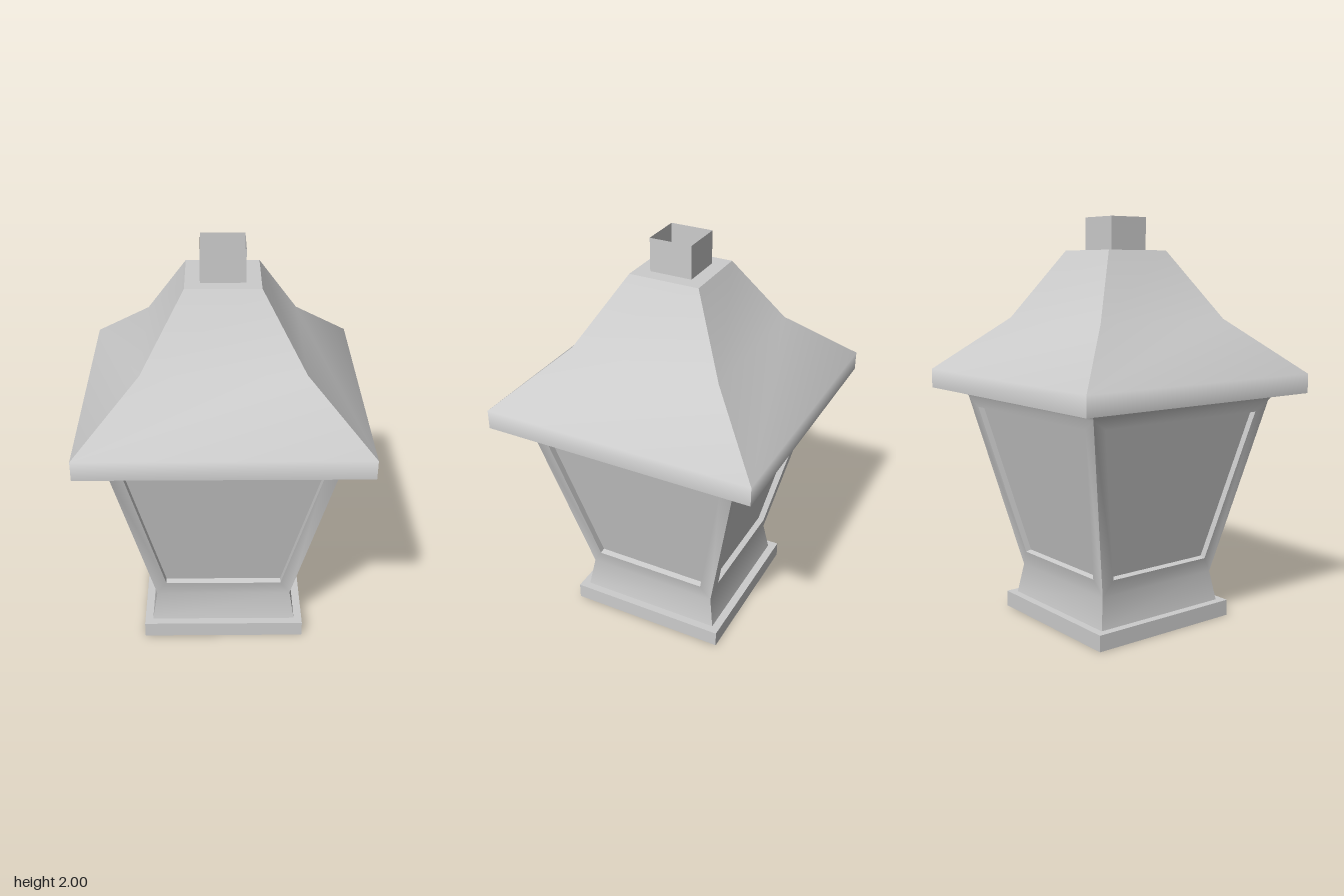
import * as THREE from 'three';

const grey = new THREE.MeshStandardMaterial({ color: 0xcccccc, side: THREE.DoubleSide });

// Surface from points and four-cornered faces (counter-clockwise from outside)
function quadSurface(points, quads) {
  const geometry = new THREE.BufferGeometry();
  geometry.setAttribute('position', new THREE.Float32BufferAttribute(points.flat(), 3));
  geometry.setIndex(quads.flatMap(([a, b, c, d]) => [a, b, c, a, c, d]));
  geometry.computeVertexNormals();
  return geometry;
}

// Left and right corner of each [halfWidth, y] row on the front side
const rowPoints = (profile) => profile.flatMap(([h, y]) => [[-h, y, h], [h, y, h]]);
const rowQuad = (i) => [2 * i, 2 * i + 1, 2 * i + 3, 2 * i + 2];

// One side, smooth along its height and creased at the corners
const profileSide = (profile) =>
  quadSurface(rowPoints(profile), profile.slice(1).map((_, i) => rowQuad(i)));

// Repeats a front-facing side around the square plan
function fourSides(name, geometry) {
  const group = new THREE.Group();
  group.name = name;
  for (let i = 0; i < 4; i++) {
    const mesh = new THREE.Mesh(geometry, grey);
    mesh.name = name + 'Side';
    mesh.rotation.y = (i * Math.PI) / 2;
    group.add(mesh);
  }
  return group;
}

function box(name, width, y0, y1) {
  const mesh = new THREE.Mesh(new THREE.BoxGeometry(width, y1 - y0, width), grey);
  mesh.name = name;
  mesh.position.y = (y0 + y1) / 2;
  return mesh;
}

export function createModel() {
  const model = new THREE.Group();
  model.name = 'lantern';

  // Foot plate
  model.add(box('base', 0.81, 0, 0.08));

  // Tapered body with a window opening in each side
  const body = [[0.365, 0.08], [0.34, 0.23], [0.535, 1.11], [0.56, 1.15], [0.655, 1.24]];
  const slope = (0.535 - 0.34) / (1.11 - 0.23);
  const wallZ = (y) => 0.34 + (y - 0.23) * slope;
  const opening = [[-0.29, 0.31], [0.29, 0.31], [0.46, 1.06], [-0.46, 1.06]]
    .map(([x, y]) => [x, y, wallZ(y)]);
  const frameQuads = [[2, 3, 11, 10], [3, 5, 12, 11], [5, 4, 13, 12], [4, 2, 10, 13]];
  model.add(fourSides('body', quadSurface(
    [...rowPoints(body), ...opening],
    [rowQuad(0), ...frameQuads, rowQuad(2), rowQuad(3)],
  )));

  // Recessed window panes and their reveals, set back along the wall normal
  const depth = 0.03;
  const normal = new THREE.Vector3(0, -slope, 1).normalize();
  const pane = opening.map(([x, y, z]) => [x, y - normal.y * depth, z - normal.z * depth]);
  model.add(fourSides('windowPane', quadSurface(pane, [[0, 1, 2, 3]])));
  const reveal = quadSurface([...opening, ...pane],
    [0, 1, 2, 3].map((i) => [i, (i + 1) % 4, 4 + ((i + 1) % 4), 4 + i])).toNonIndexed();
  reveal.computeVertexNormals();
  model.add(fourSides('windowReveal', reveal));

  // Roof with hanging eaves and a flat top
  model.add(fourSides('roof', profileSide([[0.67, 1.15], [0.67, 1.245], [0.375, 1.51], [0.175, 1.84]])));
  const roofTop = new THREE.Mesh(new THREE.PlaneGeometry(0.35, 0.35), grey);
  roofTop.name = 'roofTop';
  roofTop.rotation.x = -Math.PI / 2;
  roofTop.position.y = 1.84;
  model.add(roofTop);

  // Open square chimney
  model.add(fourSides('chimney', profileSide([[0.105, 1.84], [0.105, 2]])));

  return model;
}
